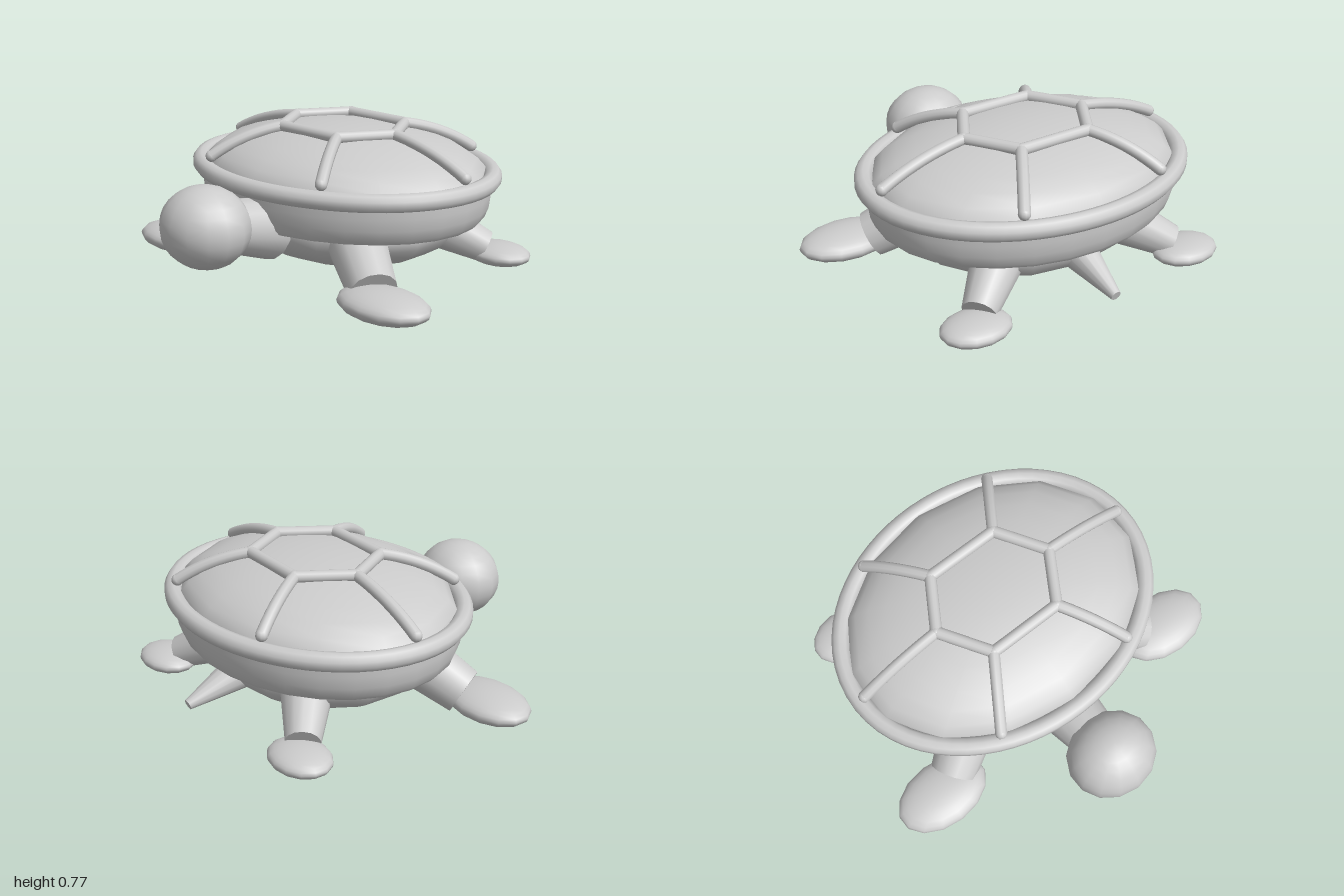
import * as THREE from 'three';

export function createModel() {
  const turtle = new THREE.Group();
  turtle.name = 'turtle';
  const grey = new THREE.MeshStandardMaterial({ color: 0xcccccc });
  grey.name = 'light grey';
  const V = (x, y, z) => new THREE.Vector3(x, y, z);

  const add = (name, geometry, parent = turtle) => {
    const mesh = new THREE.Mesh(geometry, grey);
    mesh.name = name;
    parent.add(mesh);
    return mesh;
  };

  // Ellipsoid with a corner, not a flat, on its front and back
  const ellipsoid = (name, center, radii, parent) => {
    const g = new THREE.SphereGeometry(1, 14, 14).rotateY(Math.PI / 2).scale(...radii);
    const mesh = add(name, g, parent);
    mesh.position.set(...center);
    return mesh;
  };

  // Tapered cylinder between two points
  const limb = (name, from, to, r0, r1, parent) => {
    const dir = to.clone().sub(from);
    const mesh = add(name, new THREE.CylinderGeometry(r1, r0, dir.length(), 14), parent);
    mesh.position.copy(from).add(to).multiplyScalar(0.5);
    mesh.quaternion.setFromUnitVectors(V(0, 1, 0), dir.normalize());
    return mesh;
  };

  // Shell, centred behind the origin
  const shell = new THREE.Group();
  shell.name = 'shell';
  shell.position.z = -0.2;
  turtle.add(shell);

  const dome = new THREE.SphereGeometry(1, 14, 8, 0, Math.PI * 2, 0, Math.PI / 2);
  dome.rotateY(Math.PI / 2).scale(0.81, 0.24, 0.645);
  add('shellDome', dome, shell).position.y = 0.505;

  const skirtProfile = [[0, 0.305], [0.935, 0.305], [0.935, 0.305], [0.965, 0.33], [0.99, 0.38],
    [1, 0.44], [1, 0.5]].map(([r, y]) => new THREE.Vector2(r, y));
  add('shellSkirt', new THREE.LatheGeometry(skirtProfile, 28).scale(0.82, 1, 0.66), shell);

  // Rim tube following the oval edge
  const rimPoints = [];
  for (let i = 0; i < 32; i++) {
    const a = (i / 32) * Math.PI * 2;
    rimPoints.push(V(Math.cos(a) * 0.825, 0.525, Math.sin(a) * 0.665));
  }
  const rimCurve = new THREE.CatmullRomCurve3(rimPoints, true);
  add('shellRim', new THREE.TubeGeometry(rimCurve, 64, 0.046, 10, true), shell);

  // Raised hexagon and the six curved spokes running down from it
  const hex = [[0.35, 0], [0.195, 0.252], [-0.195, 0.252], [-0.35, 0], [-0.195, -0.252], [-0.195 * -1, -0.252]];
  const ends = [[0.8, 0], [0.395, 0.56], [-0.395, 0.56], [-0.8, 0], [-0.395, -0.56], [0.395, -0.56]];
  hex.forEach(([x, z], i) => {
    const corner = V(x, 0.735, z);
    const [nx, nz] = hex[(i + 1) % 6];
    limb('hexagonBar', corner, V(nx, 0.735, nz), 0.03, 0.03, shell);
    add('hexagonJoint', new THREE.SphereGeometry(0.031, 10, 8), shell).position.copy(corner);
    const [ex, ez] = ends[i];
    const end = V(ex, 0.595, ez);
    const mid = V(x + (ex - x) * 0.55, 0.705, z + (ez - z) * 0.55);
    const spoke = new THREE.QuadraticBezierCurve3(corner, mid, end);
    add('shellSpoke', new THREE.TubeGeometry(spoke, 10, 0.03, 10), shell);
    add('spokeEnd', new THREE.SphereGeometry(0.03, 10, 8), shell).position.copy(end);
  });

  // Belly bowl
  ellipsoid('belly', [0, 0.27, -0.2], [0.64, 0.235, 0.53]);

  // Head, neck and tail
  ellipsoid('head', [0, 0.385, 0.735], [0.232, 0.202, 0.212]);
  limb('neck', V(0, 0.3, 0.33), V(0, 0.36, 0.62), 0.165, 0.125);
  limb('tail', V(0, 0.25, -0.58), V(0, 0.125, -0.945), 0.11, 0.026);

  // Legs and feet, mirrored left and right
  for (const s of [1, -1]) {
    const side = s > 0 ? 'left' : 'right';
    limb(side + 'FrontLeg', V(s * 0.36, 0.27, 0.09), V(s * 0.63, 0.1, 0.25), 0.15, 0.12);
    ellipsoid(side + 'FrontFoot', [s * 0.745, 0.08, 0.305], [0.255, 0.073, 0.17]);
    limb(side + 'BackLeg', V(s * 0.36, 0.23, -0.5), V(s * 0.58, 0.1, -0.67), 0.13, 0.085);
    ellipsoid(side + 'BackFoot', [s * 0.63, 0.065, -0.72], [0.18, 0.058, 0.14]);
  }

  return turtle;
}
